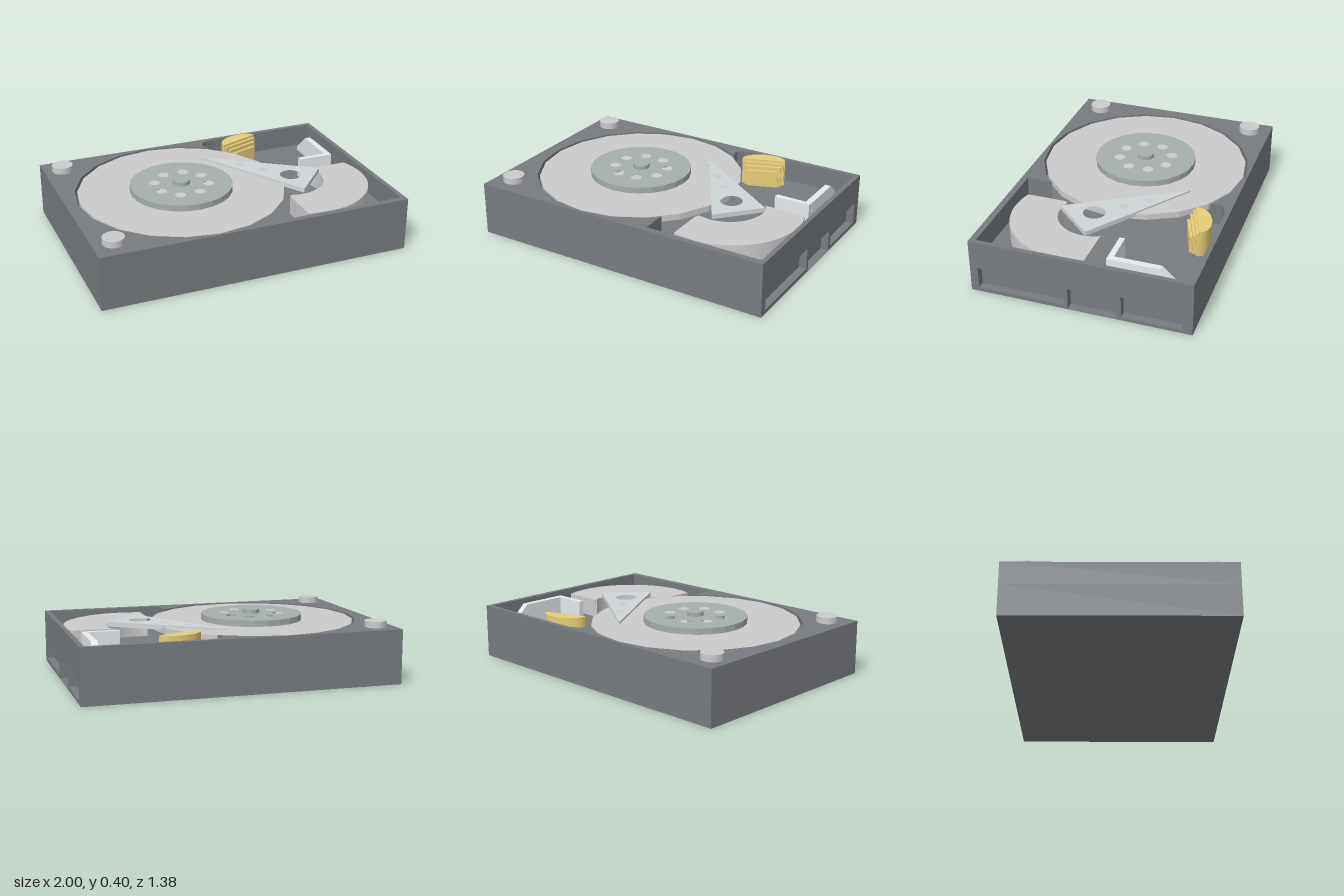
import * as THREE from 'three';

const FLOOR = 0.2, RIM = 0.345;
const mat = (color) => new THREE.MeshStandardMaterial({ color, flatShading: true });
const CASE = mat(0x787c80), GREY = mat(0xcccccc), HUB = mat(0xa6aeae);
const STEEL = mat(0xd0d6d8), BRIGHT = mat(0xe4eaee), GOLD = mat(0xe6cd78);

// points on a circle or ellipse in the ground plane, as [x, z]
function ring(cx, cz, r, sides, from = 0, to = Math.PI * 2) {
  const full = to - from >= Math.PI * 2 - 1e-6;
  return Array.from({ length: full ? sides : sides + 1 }, (_, i) => {
    const a = from + ((to - from) * i) / sides;
    return [cx + r * Math.cos(a), cz + r * Math.sin(a)];
  });
}
const toV = (pts) => pts.map(([x, z]) => new THREE.Vector2(x, -z));

export function createModel() {
  const model = new THREE.Group();
  const add = (name, geometry, material, parent = model) => {
    const m = new THREE.Mesh(geometry, material);
    m.name = name;
    parent.add(m);
    return m;
  };
  // flat plate with an [x, z] outline, standing from y0 to y1
  const plate = (name, outline, y0, y1, material, holes = [], parent = model) => {
    const shape = new THREE.Shape(toV(outline));
    shape.holes = holes.map((h) => new THREE.Path(toV(h)));
    const g = new THREE.ExtrudeGeometry(shape, { depth: y1 - y0, bevelEnabled: false });
    g.rotateX(-Math.PI / 2).translate(0, y0, 0);
    return add(name, g, material, parent);
  };
  const rect = (x0, x1, z0, z1) => [[x0, z0], [x1, z0], [x1, z1], [x0, z1]];

  // case: base slab, connector wall with recesses, and rim around the cavity
  const housing = new THREE.Group();
  housing.name = 'case';
  model.add(housing);
  plate('caseBase', rect(-1, 0.95, -0.69, 0.69), 0, FLOOR, CASE, [], housing);

  const box = (a, b, y0, y1) =>
    [[a, y0], [b, y0], [b, y1], [a, y1]].map(([x, y]) => new THREE.Vector2(x, y));
  const wall = new THREE.Shape(box(-0.69, 0.69, 0, FLOOR));
  wall.holes = [
    [-0.64, -0.09, 0.025, 0.165],
    [-0.07, 0.23, 0.004, 0.145],
    [0.26, 0.63, 0.022, 0.165],
  ].map((h) => new THREE.Path(box(...h)));
  const wallGeo = new THREE.ExtrudeGeometry(wall, { depth: 0.05, bevelEnabled: false });
  wallGeo.rotateY(Math.PI / 2).translate(0.95, 0, 0);
  add('connectorWall', wallGeo, CASE, housing);

  const deg = Math.PI / 180;
  const cavity = [
    [0.21, 0.483], [0.21, 0.65], [0.97, 0.65], [0.97, -0.66], [0.23, -0.66],
    [0.17, -0.645], [0.135, -0.615], [0.13, -0.58],
    ...ring(-0.25, 0, 0.675, 14, -54 * deg, -306 * deg),
  ];
  plate('caseRim', rect(-1, 1, -0.69, 0.69), FLOOR, RIM, CASE, [cavity], housing);

  // corner screws
  for (const [x, z] of [[-0.88, -0.55], [-0.87, 0.545]])
    plate('screw', ring(x, z, 0.068, 24), RIM - 0.01, 0.386, GREY);

  // disc, clamp with a circle of holes, and spindle
  plate('platter', ring(-0.25, 0, 0.66, 20), 0.3, 0.34, GREY);
  const clampHoles = ring(-0.248, 0, 0.172, 8, 22.5 * deg, 382.5 * deg)
    .map(([x, z]) => ring(x, z, 0.035, 20));
  plate('clamp', ring(-0.25, 0, 0.328, 24), 0.34, 0.379, HUB, clampHoles);
  plate('spindle', ring(-0.248, 0, 0.053, 20), FLOOR, 0.404, HUB);

  // triangular head arm
  plate('arm', [[0.035, -0.39], [0.695, 0.07], [0.465, 0.32]], 0.322, 0.352, STEEL, [
    ring(0.23, -0.183, 0.028, 20),
    ring(0.345, -0.055, 0.028, 20),
    ring(0.475, 0.093, 0.07, 24),
  ]);

  // curved magnet around the arm pivot
  plate('magnet', [
    [0.655, -0.015],
    ...ring(0.5, 0.15, 0.455, 28, -21 * deg, 108 * deg),
    [0.36, 0.33],
    ...ring(0.455, 0.09, 0.235, 20, 110 * deg, -27 * deg),
  ], FLOOR, 0.32, GREY);

  // bent bracket: short leg, long leg, and a long-leg end that slopes down
  plate('bracketShortLeg', rect(0.66, 0.895, -0.17, -0.135), FLOOR, 0.335, BRIGHT);
  const side = new THREE.Shape([
    [0.17, FLOOR], [0.58, FLOOR], [0.58, 0.225], [0.46, 0.335], [0.17, 0.335],
  ].map(([x, y]) => new THREE.Vector2(x, y)));
  const sideGeo = new THREE.ExtrudeGeometry(side, { depth: 0.04, bevelEnabled: false });
  sideGeo.rotateY(Math.PI / 2).translate(0.857, 0, 0);
  add('bracketLongLeg', sideGeo, BRIGHT);

  // gold block: half-round body with stepped plates on its flat face
  const gold = new THREE.Group();
  gold.name = 'goldBlock';
  gold.position.set(0.378, 0, -0.532);
  gold.rotation.y = 20 * deg;
  model.add(gold);
  const half = ring(0, 0, 1, 20, Math.PI, 2 * Math.PI)
    .map(([x, z]) => [x * 0.142, z * 0.088]);
  plate('goldBody', half, FLOOR, 0.37, GOLD, [], gold);
  [[0.136, 0.355], [0.118, 0.335], [0.1, 0.31]].forEach(([w, top], i) =>
    plate('goldStep', rect(-w, w, i * 0.018, (i + 1) * 0.018), FLOOR, top, GOLD, [], gold));

  return model;
}
